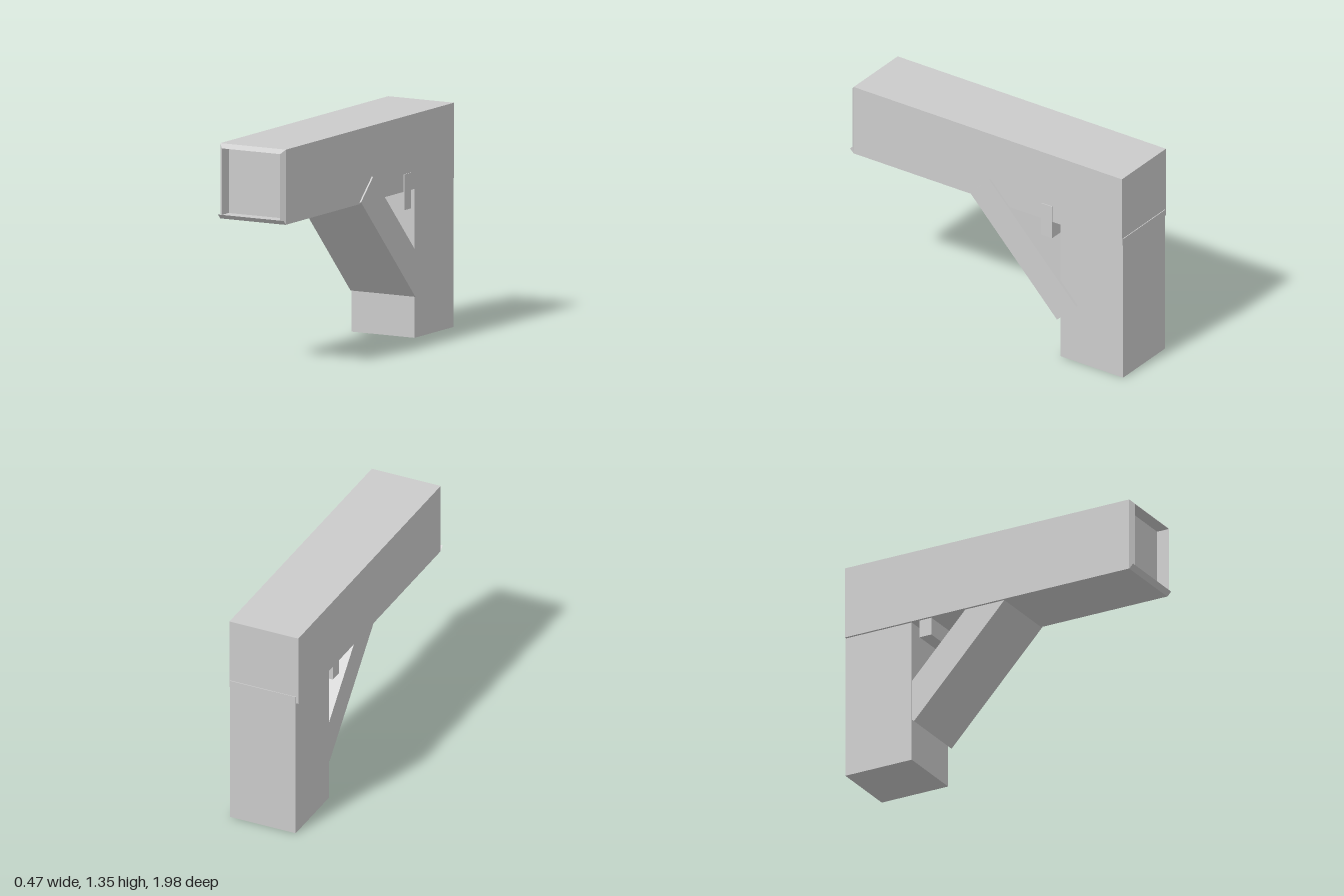
import * as THREE from 'three';

const material = new THREE.MeshStandardMaterial({ color: 0xcccccc, flatShading: true });
const thin = new THREE.MeshStandardMaterial({ color: 0xcccccc, flatShading: true, side: THREE.DoubleSide });

// Box given by its min and max corners
function box(name, [x0, y0, z0], [x1, y1, z1]) {
  const mesh = new THREE.Mesh(new THREE.BoxGeometry(x1 - x0, y1 - y0, z1 - z0), material);
  mesh.position.set((x0 + x1) / 2, (y0 + y1) / 2, (z0 + z1) / 2);
  mesh.name = name;
  return mesh;
}

// Flat-shaded mesh from four-cornered faces
function quadMesh(name, quads, mat) {
  const points = quads.flatMap(([a, b, c, d]) => [a, b, c, a, c, d]).flat();
  const geometry = new THREE.BufferGeometry();
  geometry.setAttribute('position', new THREE.Float32BufferAttribute(points, 3));
  geometry.computeVertexNormals();
  const mesh = new THREE.Mesh(geometry, mat);
  mesh.name = name;
  return mesh;
}

// Square barrel: outer walls, bevelled rim, then a shallow hollow in the front end
function makeBarrel() {
  const ring = (inset, z) => {
    const x0 = -0.235 + inset, x1 = 0.22 - inset, y0 = 0.9 + inset, y1 = 1.353 - inset;
    return [[x0, y0, z], [x1, y0, z], [x1, y1, z], [x0, y1, z]];
  };
  const rings = [ring(0, -0.995), ring(0, 0.955), ring(0.026, 0.98), ring(0.026, 0.9)];
  const quads = [[...rings[0]].reverse(), rings[3]];
  for (let r = 0; r < 3; r++) {
    for (let i = 0; i < 4; i++) {
      const j = (i + 1) % 4;
      quads.push([rings[r][i], rings[r][j], rings[r + 1][j], rings[r + 1][i]]);
    }
  }
  return quadMesh('barrel', quads, material);
}

export function createModel() {
  const model = new THREE.Group();
  model.name = 'blockPistol';

  model.add(makeBarrel());

  // Full-width lip under the front opening, its corners not mitred
  model.add(quadMesh('lowerLip', [[
    [-0.235, 0.899, 0.955], [0.22, 0.899, 0.955], [0.22, 0.926, 0.981], [-0.235, 0.926, 0.981],
  ]], thin));

  model.add(box('grip', [-0.22, 0, -1], [0.215, 0.945, -0.545]));
  model.add(box('trigger', [-0.22, 0.79, -0.49], [0.225, 1.005, -0.41]));

  // Slanted guard from the barrel down to the grip
  const guard = box('triggerGuard', [-0.219, -0.457, -0.097], [0.23, 0.457, 0.097]);
  guard.position.y = 0.648;
  guard.position.z = -0.285;
  guard.rotation.x = 0.762;
  model.add(guard);

  return model;
}
